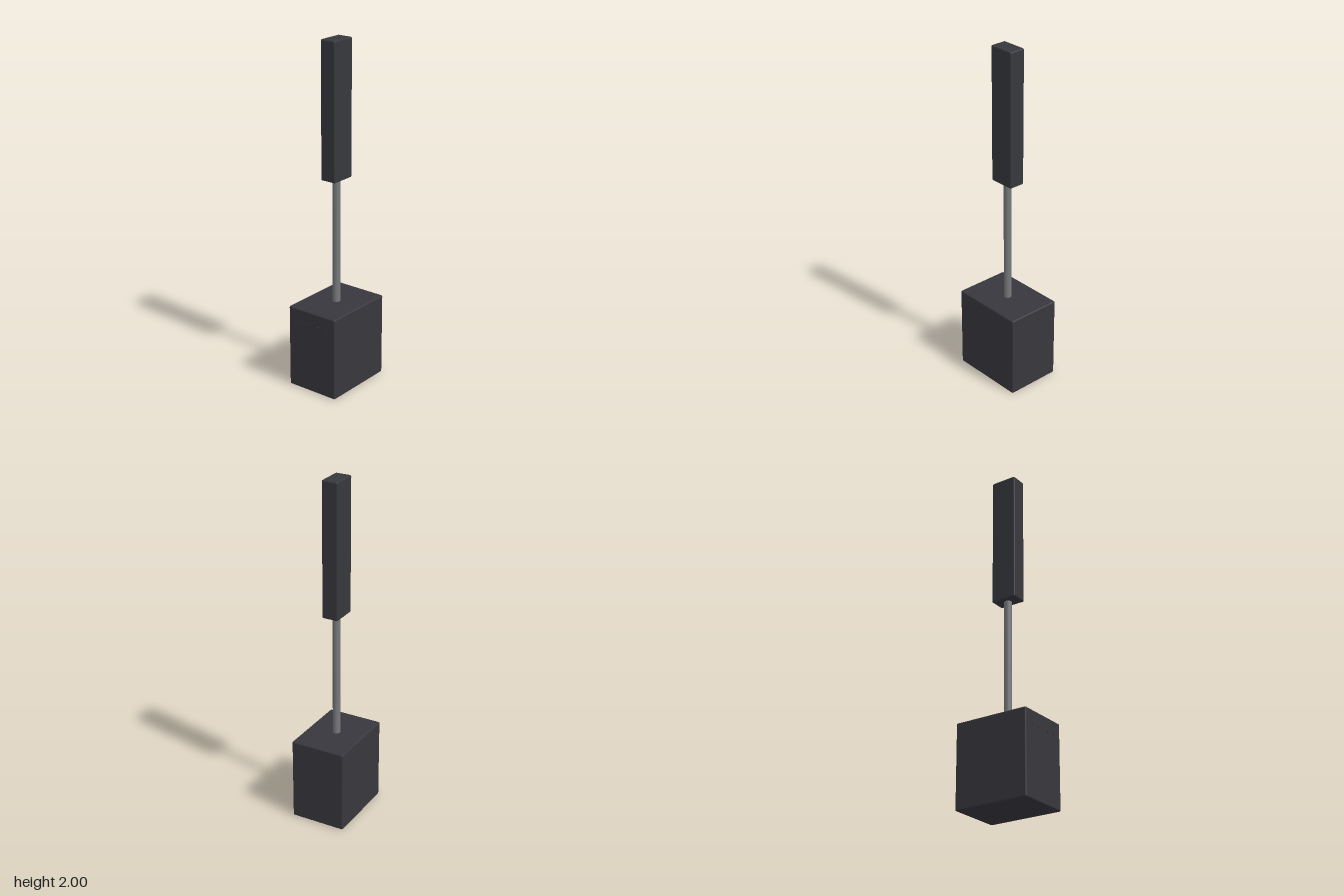
import * as THREE from 'three';
import { RoundedBoxGeometry } from 'three/addons/geometries/RoundedBoxGeometry.js';

export function createModel() {
  const model = new THREE.Group();
  const charcoal = new THREE.MeshStandardMaterial({ name: 'charcoal', color: 0x38373d });
  const graphite = new THREE.MeshStandardMaterial({ name: 'graphite', color: 0x37383d });
  const steel = new THREE.MeshStandardMaterial({ name: 'steel grey', color: 0x77797c });

  const add = (name, geometry, material, x, y, z) => {
    const mesh = new THREE.Mesh(geometry, material);
    mesh.name = name;
    mesh.position.set(x, y, z);
    model.add(mesh);
    return mesh;
  };

  // Heavy block with softened edges
  const W = 0.326, H = 0.488, D = 0.448;
  add('headBlock', new RoundedBoxGeometry(W, H, D, 3, 0.008), charcoal, 0, H / 2, 0);

  // Rod joining the block and the grip
  const rodBottom = 0.46, rodTop = 1.24;
  add('rod', new THREE.CylinderGeometry(0.022, 0.022, rodTop - rodBottom, 24), steel,
    0, (rodBottom + rodTop) / 2, 0);

  // Rectangular grip
  const gripBottom = 1.218;
  add('grip', new RoundedBoxGeometry(0.096, 2 - gripBottom, 0.154, 3, 0.008), graphite,
    0, (gripBottom + 2) / 2, 0);

  // Row of small studs across the upper front face
  const stud = new THREE.CylinderGeometry(0.007, 0.007, 0.008, 12).rotateX(Math.PI / 2);
  for (const x of [-0.1, -0.043, 0.043, 0.1]) add('frontStud', stud, charcoal, x, 0.41, D / 2);

  return model;
}
